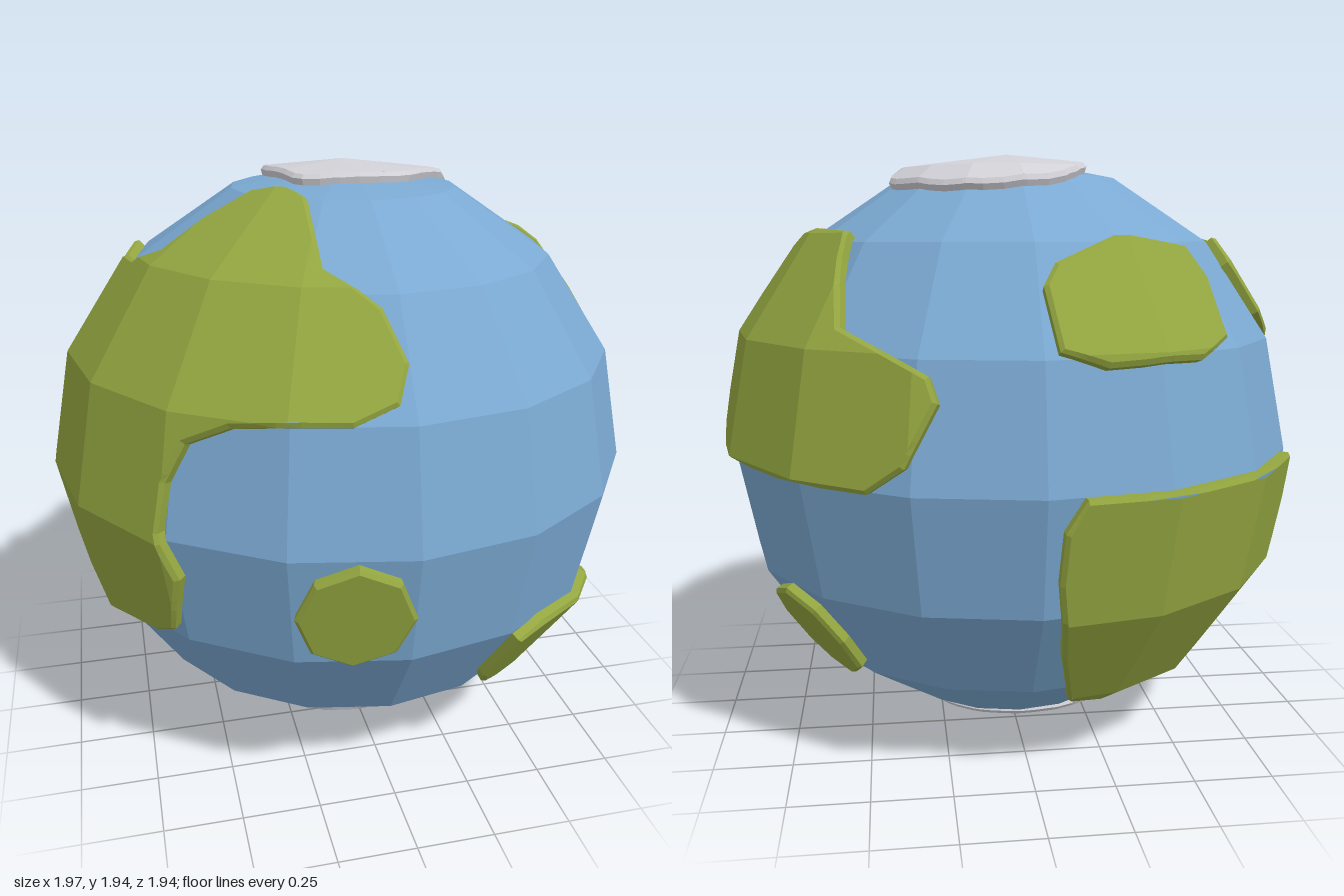
import * as THREE from 'three';

const RADIUS = 0.96, CENTER = 0.97, SEGS = 16, BANDS = 8;
const V = (x, y, z) => new THREE.Vector3(x, y, z);
const mat = (color) => new THREE.MeshStandardMaterial({ color, flatShading: true });

// flat facets of the ball: corners, outward normal, distance from the centre
const facets = [];
const corner = (b, s) => V().setFromSphericalCoords(RADIUS, (b * Math.PI) / BANDS, (s * 2 * Math.PI) / SEGS);
for (let b = 0; b < BANDS; b++) for (let s = 0; s < SEGS; s++) {
  const c = [corner(b, s), corner(b + 1, s), corner(b + 1, s + 1), corner(b, s + 1)];
  const n = c[2].clone().sub(c[0]).cross(c[3].clone().sub(c[1])).normalize();
  const mid = c.reduce((a, p) => a.add(p), V(0, 0, 0)).normalize();
  if (n.dot(mid) < 0) n.negate();
  facets.push({ c, n, mid, d: n.dot(c[1].clone().add(c[0]).multiplyScalar(0.5)) });
}

// point of the faceted surface in a direction, scaled outwards; maxY flattens the poles
const lift = (p, d, scale, maxY) => {
  const q = p.clone().multiplyScalar(d * scale);
  q.y = THREE.MathUtils.clamp(q.y, -maxY, maxY);
  return q;
};
const surface = (p, scale, maxY) => {
  let r = Infinity;
  for (const f of facets) {
    const k = f.n.dot(p);
    if (k > 1e-4) r = Math.min(r, f.d / k);
  }
  return lift(p, r, scale, maxY);
};

// keep the part of an outline inside the cone above one facet
function clip(poly, f) {
  for (let i = 0; i < 4; i++) {
    const n = f.c[i].clone().cross(f.c[(i + 1) % 4]);
    if (n.length() < 1e-6) continue;
    n.normalize();
    if (n.dot(f.mid) < 0) n.negate();
    const out = [];
    poly.forEach((p, k) => {
      const q = poly[(k + 1) % poly.length], a = n.dot(p), b = n.dot(q);
      if (a >= 0) out.push(p);
      if (a >= 0 !== b >= 0) out.push(p.clone().lerp(q, a / (a - b)));
    });
    poly = out;
    if (poly.length < 3) return [];
  }
  return poly;
}

// raised plate that follows the facets, with a bevelled rim
function plate(name, points, material, { height = 0.04, bevel = 0.014, maxY = 2 } = {}) {
  let line = points.map((p) => p.clone().normalize());
  const mid = line.reduce((a, p) => a.add(p), V(0, 0, 0));
  const turn = line.reduce((t, p, i) => t + p.clone().cross(line[(i + 1) % line.length]).dot(mid), 0);
  if (turn < 0) line.reverse();
  const count = line.length;
  const inner = line.map((p, i) => {
    const along = line[(i + 1) % count].clone().sub(line[(i + count - 1) % count]);
    return p.clone().addScaledVector(p.clone().cross(along).normalize(), bevel).normalize();
  });
  const pos = [];
  const tri = (...t) => t.forEach((p) => pos.push(p.x, p.y, p.z));

  // top
  for (const f of facets) {
    const poly = clip(inner, f);
    if (poly.length < 3) continue;
    const pts = poly.map((p) => lift(p, f.d / f.n.dot(p), 1 + height, maxY));
    const u = (Math.abs(f.n.y) < 0.9 ? V(0, 1, 0) : V(1, 0, 0)).cross(f.n).normalize();
    const v = f.n.clone().cross(u);
    const flat = pts.map((p) => new THREE.Vector2(p.dot(u), p.dot(v)));
    for (const [a, b, c] of THREE.ShapeUtils.triangulateShape(flat, [])) {
      const area = flat[b].clone().sub(flat[a]).cross(flat[c].clone().sub(flat[a]));
      if (area > 1e-9) tri(pts[a], pts[b], pts[c]);
      else if (area < -1e-9) tri(pts[a], pts[c], pts[b]);
    }
  }

  // bevel and wall
  const dense = (l) => l.flatMap((p, i) =>
    [0, 0.2, 0.4, 0.6, 0.8].map((t) => p.clone().lerp(l[(i + 1) % count], t)));
  const outer = dense(line);
  const rings = [
    dense(inner).map((p) => surface(p, 1 + height, maxY)),
    outer.map((p) => surface(p, 1 + height - bevel * 0.8, maxY)),
    outer.map((p) => surface(p, 0.985, maxY)),
  ];
  for (let r = 0; r < 2; r++) rings[r].forEach((a, i) => {
    const j = (i + 1) % outer.length, b = rings[r][j], c = rings[r + 1][i], d = rings[r + 1][j];
    tri(a, c, d);
    tri(a, d, b);
  });

  const geo = new THREE.BufferGeometry();
  geo.setAttribute('position', new THREE.Float32BufferAttribute(pos, 3));
  geo.computeVertexNormals();
  const mesh = new THREE.Mesh(geo, material);
  mesh.name = name;
  return mesh;
}

// outline points seen along one axis, lifted to the ball (heights count from the ground)
const depth = (a, b) => Math.sqrt(Math.max(0.005, 0.965 - a * a - b * b));
const fromFront = (list) => list.map(([x, y]) => V(x, y - CENTER, depth(x, y - CENTER)));
const fromSide = (sign, list) => list.map(([z, y]) => V(sign * depth(z, y - CENTER), y - CENTER, z));
const fromTop = (sign, list) => list.map(([x, z]) => V(x, sign * depth(x, z), z));
const rounded = (pts) => new THREE.CatmullRomCurve3(pts, true).getPoints(36).slice(0, -1);

export function createModel() {
  const model = new THREE.Group();
  model.name = 'globe';
  const ball = new THREE.Group();
  ball.position.y = CENTER;
  model.add(ball);
  const land = mat(0x94a640), snow = mat(0xd0d0d6);

  const ocean = new THREE.Mesh(new THREE.SphereGeometry(RADIUS, SEGS, BANDS), mat(0x7ba9d2));
  ocean.name = 'ocean';
  ball.add(ocean);

  // long bent continent
  ball.add(plate('bentContinent', [
    ...fromFront([[-0.72, 0.6], [-0.67, 0.65], [-0.66, 0.85], [-0.7, 1], [-0.68, 1.15], [-0.62, 1.27],
      [-0.5, 1.33], [-0.18, 1.35], [-0.05, 1.4], [-0.01, 1.5], [-0.06, 1.63], [-0.2, 1.72]]),
    ...fromTop(1, [[-0.19, 0.35], [-0.23, 0.27], [-0.33, 0.2], [-0.48, 0.19], [-0.61, 0.2], [-0.69, 0.1],
      [-0.71, -0.1], [-0.66, -0.22], [-0.7, -0.3], [-0.82, -0.29]]),
    ...fromSide(-1, [[-0.04, 1.28], [-0.01, 0.97], [0, 0.71], [0.08, 0.6]]),
  ], land));

  // broad continent on the left
  ball.add(plate('broadContinent', fromSide(1, [[0, 1.475], [-0.04, 1.64], [-0.12, 1.68], [-0.42, 1.685],
    [-0.5, 1.61], [-0.67, 1.42], [-0.87, 1.3], [-0.9, 1.23], [-0.9, 1.05], [-0.85, 0.97], [-0.18, 0.98],
    [-0.05, 1.04], [0, 1.15]]), land));

  // low continent behind
  ball.add(plate('rearContinent', [
    V(-0.11, 0, -0.98), V(-0.885, 0, -0.43), V(-0.9, -0.16, -0.37), V(-0.85, -0.37, -0.33),
    V(-0.665, -0.67, -0.28), V(-0.555, -0.74, -0.31), V(-0.12, -0.74, -0.61), V(-0.07, -0.53, -0.82),
    V(-0.04, -0.26, -0.95), V(-0.05, -0.1, -0.98),
  ], land));

  // islands
  const octagon = Array.from({ length: 8 }, (_, i) =>
    [-0.18 + 0.175 * Math.sin((i * Math.PI) / 4), 0.78 + 0.18 * Math.cos((i * Math.PI) / 4)]);
  ball.add(plate('frontIsland', fromFront(octagon), land));
  ball.add(plate('lowIsland', fromFront([[0.36, 0.58], [0.47, 0.6], [0.74, 0.6], [0.79, 0.55], [0.77, 0.46],
    [0.67, 0.31], [0.6, 0.26], [0.42, 0.25], [0.33, 0.3], [0.3, 0.38]]), land));
  ball.add(plate('sideIsland', fromSide(1, [[-0.32, 0.46], [-0.305, 0.35], [-0.34, 0.29], [-0.42, 0.27],
    [-0.53, 0.33], [-0.58, 0.43], [-0.58, 0.54], [-0.5, 0.59], [-0.385, 0.55]]), land));
  ball.add(plate('rearIsland', fromTop(1, [[-0.58, -0.68], [-0.48, -0.78], [-0.29, -0.87], [-0.18, -0.9],
    [-0.04, -0.9], [-0.01, -0.8], [-0.05, -0.75], [-0.235, -0.65], [-0.476, -0.535], [-0.55, -0.57]]), land));

  // polar snow
  ball.add(plate('topSnow', rounded(fromTop(1, [[0.06, -0.45], [0.235, -0.4], [0.35, -0.28], [0.41, -0.16],
    [0.35, -0.05], [0.26, 0.08], [0.155, 0.19], [-0.02, 0.22], [-0.18, 0.18], [-0.22, 0.05], [-0.25, -0.11],
    [-0.22, -0.27], [-0.13, -0.4]])), snow, { height: 0.033, maxY: 0.97 }));
  ball.add(plate('bottomSnow', rounded(fromTop(-1, [[0.31, -0.1], [0.2, -0.28], [-0.02, -0.35], [-0.25, -0.29],
    [-0.37, -0.13], [-0.39, 0.06], [-0.31, 0.26], [-0.12, 0.37], [0.06, 0.36], [0.2, 0.23], [0.28, 0.08]])),
  snow, { height: 0.025, maxY: 0.97 }));

  return model;
}
